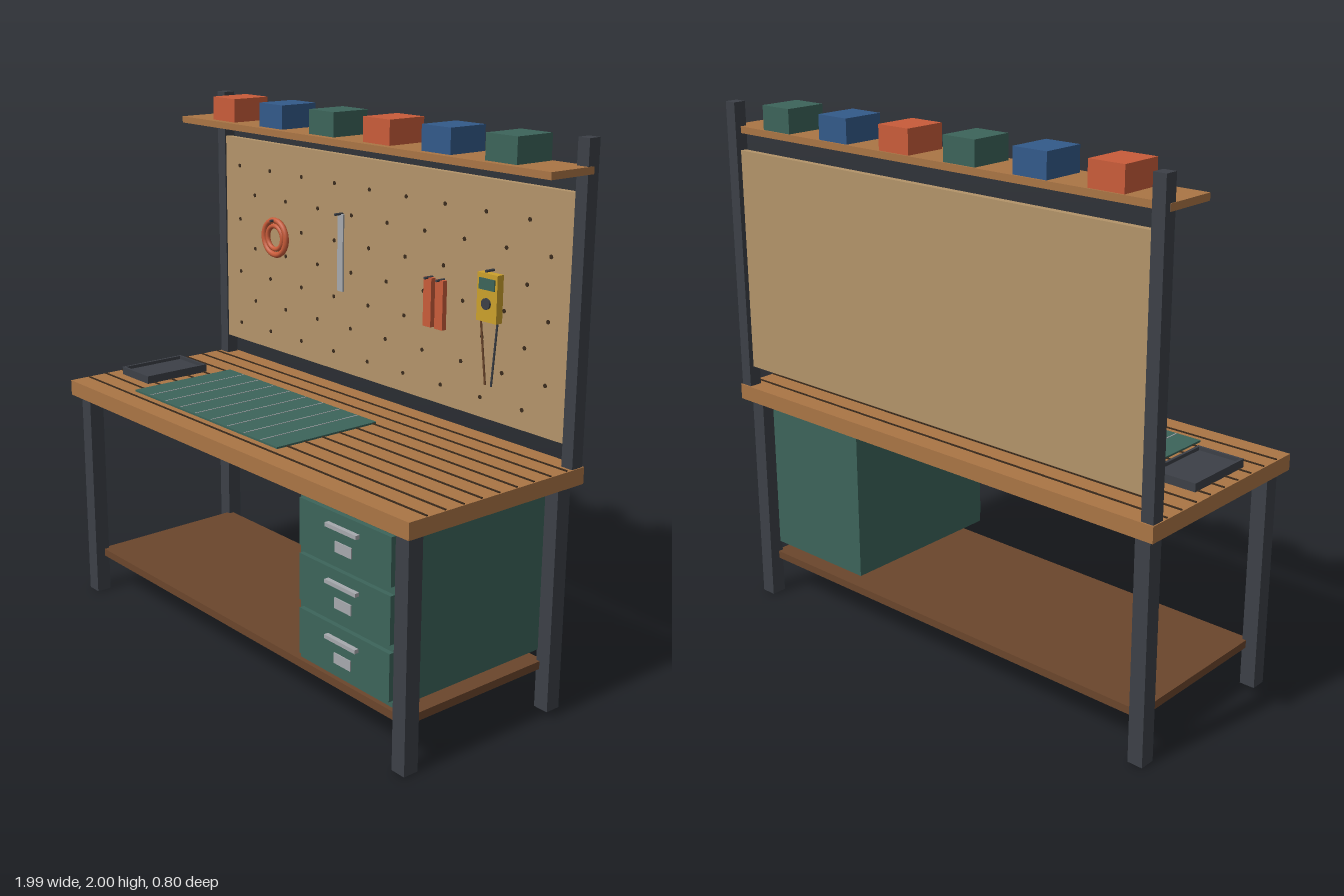
import * as THREE from 'three';

const mat = (name, color) => {
  const m = new THREE.MeshStandardMaterial({ color });
  m.name = name;
  return m;
};

export function createModel() {
  const wood = mat('wood', 0xaa7545);
  const darkWood = mat('dark wood', 0x6b462c);
  const charcoal = mat('charcoal metal', 0x3c4047);
  const green = mat('green paint', 0x3c645a);
  const board = mat('pegboard tan', 0xb3946a);
  const orange = mat('orange', 0xc95c3a);
  const blue = mat('blue', 0x335a8a);
  const steel = mat('steel', 0xa6a9ad);
  const yellow = mat('yellow', 0xcba02c);
  const dark = mat('dark brown', 0x3a2a1c);

  const root = new THREE.Group();
  root.name = 'workbench';

  const group = (name) => {
    const g = new THREE.Group();
    g.name = name;
    root.add(g);
    return g;
  };
  const add = (parent, name, geo, material, x = 0, y = 0, z = 0) => {
    const m = new THREE.Mesh(geo, material);
    m.name = name;
    m.position.set(x, y, z);
    parent.add(m);
    return m;
  };
  // Box given by its limits on each axis
  const box = (parent, name, material, x0, x1, y0, y1, z0, z1) =>
    add(parent, name, new THREE.BoxGeometry(x1 - x0, y1 - y0, z1 - z0), material,
      (x0 + x1) / 2, (y0 + y1) / 2, (z0 + z1) / 2);
  // Straight round bar along z
  const bar = (parent, name, material, r, x, y, z0, z1, sides = 8) => {
    const m = add(parent, name, new THREE.CylinderGeometry(r, r, z1 - z0, sides), material, x, y, (z0 + z1) / 2);
    m.rotation.x = Math.PI / 2;
    return m;
  };

  // Bench frame
  const frame = group('frame');
  for (const sx of [-1, 1]) {
    for (const sz of [-1, 1]) {
      add(frame, 'leg', new THREE.BoxGeometry(0.06, 0.84, 0.06), charcoal, sx * 0.935, 0.42, sz * 0.34);
    }
    add(frame, 'upright', new THREE.BoxGeometry(0.048, 1.1, 0.05), charcoal, sx * 0.967, 1.45, -0.369);
  }
  box(frame, 'lowerShelf', darkWood, -0.92, 0.92, 0.15, 0.18, -0.33, 0.33);

  // Worktop with plank seams
  const top = group('worktop');
  box(top, 'tabletop', wood, -0.995, 0.995, 0.84, 0.9, -0.4, 0.4);
  for (let i = 0; i < 9; i++) {
    const z = -0.32 + i * 0.08;
    box(top, 'plankSeam', dark, -0.99, 0.99, 0.898, 0.904, z - 0.003, z + 0.003);
  }

  // Cutting mat with grid lines
  const cuttingMat = group('cuttingMat');
  box(cuttingMat, 'mat', green, -0.7, 0.2, 0.9, 0.907, -0.175, 0.285);
  for (let i = 0; i < 8; i++) {
    const x = -0.6 + i * 0.1;
    box(cuttingMat, 'matLine', steel, x - 0.002, x + 0.002, 0.907, 0.9085, -0.17, 0.28);
  }

  // Parts tray with a raised rim
  const tray = group('partsTray');
  box(tray, 'trayFloor', charcoal, -0.94, -0.755, 0.9, 0.918, -0.095, 0.19);
  for (const x of [-0.94, -0.765]) box(tray, 'trayRim', charcoal, x, x + 0.01, 0.918, 0.931, -0.095, 0.19);
  for (const z of [-0.095, 0.18]) box(tray, 'trayRim', charcoal, -0.93, -0.765, 0.918, 0.931, z, z + 0.01);

  // Drawer cabinet
  const cabinet = group('drawerCabinet');
  box(cabinet, 'cabinetBody', green, 0.43, 0.909, 0.222, 0.84, -0.32, 0.365);
  for (let i = 0; i < 3; i++) {
    const y = 0.333 + i * 0.2;
    box(cabinet, 'drawerFront', green, 0.445, 0.9, y - 0.085, y + 0.085, 0.365, 0.383);
    box(cabinet, 'drawerHandle', steel, 0.595, 0.75, y + 0.032, y + 0.046, 0.383, 0.4);
    box(cabinet, 'labelPlate', steel, 0.63, 0.713, y - 0.05, y - 0.012, 0.383, 0.387);
  }

  // Pegboard with staggered holes
  const peg = group('pegboard');
  box(peg, 'pegboardPanel', board, -0.945, 0.945, 0.978, 1.822, -0.375, -0.35);
  for (let r = 0; r < 7; r++) {
    for (let c = 0; c < 9; c++) {
      const x = -0.85 + c * 0.2 + (r % 2) * 0.1;
      bar(peg, 'pegHole', dark, 0.008, x, 1.71 - r * 0.11, -0.351, -0.348);
    }
  }

  // Top shelf with storage bins
  const shelf = group('topShelf');
  box(shelf, 'shelfBoard', wood, -0.993, 0.993, 1.885, 1.91, -0.37, -0.17);
  const binColours = [orange, blue, green];
  for (let i = 0; i < 6; i++) {
    const x = -0.75 + i * 0.3;
    box(shelf, 'storageBin', binColours[i % 3], x - 0.07, x + 0.07, 1.91, 2, -0.363, -0.2);
  }

  // Hanging cable coil
  const coil = group('cableCoil');
  add(coil, 'outerCoil', new THREE.TorusGeometry(0.07, 0.012, 8, 32), orange, -0.6, 1.45, -0.335);
  add(coil, 'innerCoil', new THREE.TorusGeometry(0.047, 0.01, 8, 32), orange, -0.6, 1.45, -0.335);

  // Hanging steel rule and pliers
  const tools = group('hangingTools');
  box(tools, 'steelRule', steel, -0.218, -0.186, 1.3, 1.6, -0.345, -0.338);
  for (const x of [0.295, 0.355]) box(tools, 'plierHandle', orange, x - 0.02, x + 0.02, 1.26, 1.44, -0.345, -0.325);

  // Multimeter with leads
  const meter = group('multimeter');
  box(meter, 'meterBody', yellow, 0.547, 0.642, 1.335, 1.505, -0.35, -0.32);
  box(meter, 'meterScreen', green, 0.558, 0.632, 1.448, 1.488, -0.32, -0.316);
  bar(meter, 'meterDial', charcoal, 0.02, 0.595, 1.4, -0.32, -0.312, 16);
  const lead = (name, material, x0, x1) => {
    const path = new THREE.LineCurve3(new THREE.Vector3(x0, 1.34, -0.335), new THREE.Vector3(x1, 1.105, -0.338));
    add(meter, name, new THREE.TubeGeometry(path, 1, 0.004, 6), material);
  };
  lead('brownLead', darkWood, 0.555, 0.583);
  lead('darkLead', charcoal, 0.635, 0.612);

  // Pegs that carry the tools
  const hooks = group('hooks');
  for (const [x, y] of [[-0.6, 1.52], [-0.202, 1.6], [0.295, 1.44], [0.355, 1.44], [0.595, 1.515]]) {
    bar(hooks, 'hook', charcoal, 0.005, x, y, -0.352, -0.31);
  }

  return root;
}
